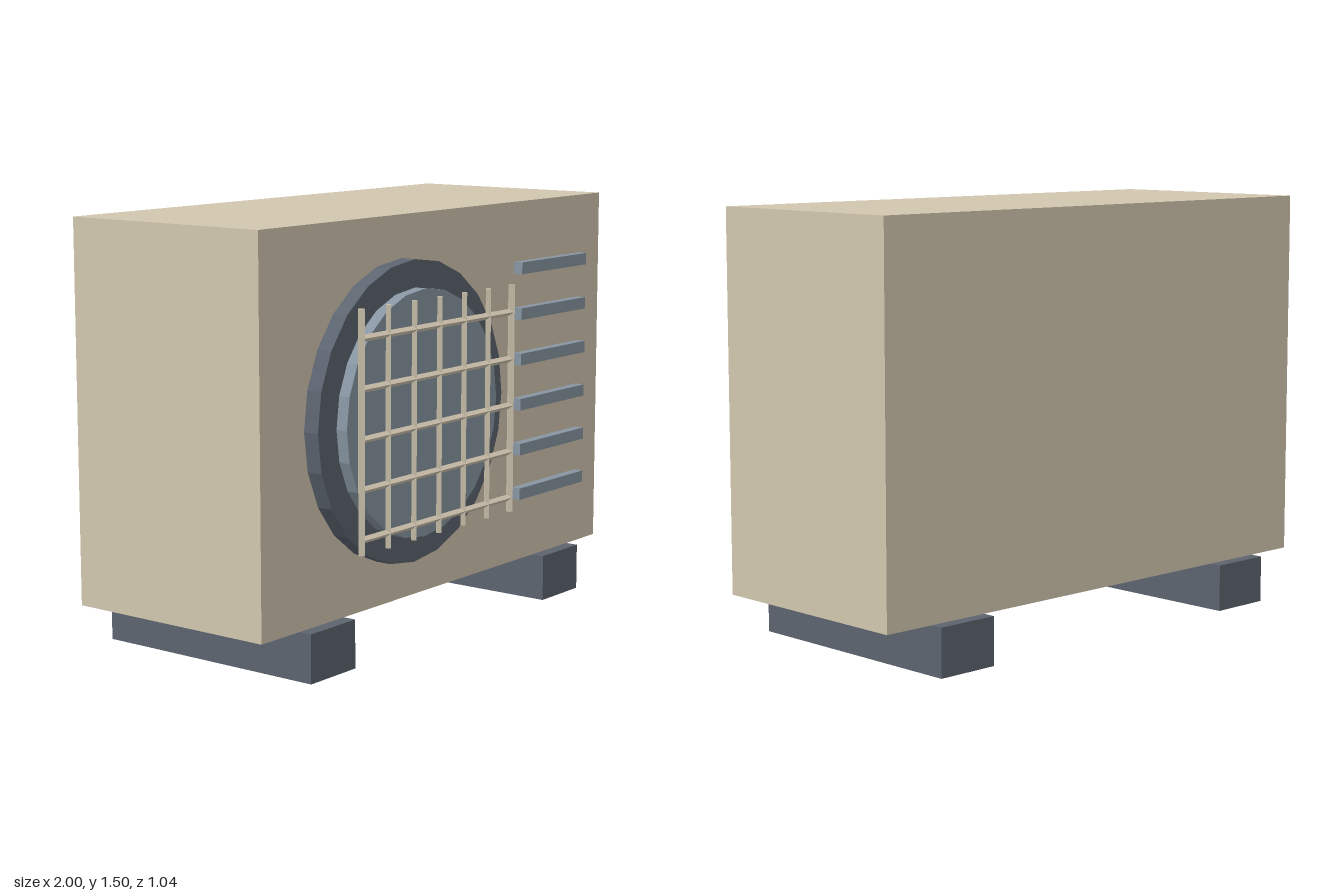
import * as THREE from 'three';

export function createModel() {
  const model = new THREE.Group();
  model.name = 'outdoorFanUnit';
  const mat = (name, color) => {
    const m = new THREE.MeshStandardMaterial({ color });
    m.name = name;
    m.flatShading = true;
    return m;
  };
  const beige = mat('beige', 0xd2c7b0);
  const darkGrey = mat('darkGrey', 0x5c646f);
  const blueGrey = mat('blueGrey', 0x8795a2);

  const add = (name, geometry, material, x, y, z, parent = model) => {
    const mesh = new THREE.Mesh(geometry, material);
    mesh.name = name;
    mesh.position.set(x, y, z);
    parent.add(mesh);
    return mesh;
  };

  // Casing on two rails running front to back
  add('casing', new THREE.BoxGeometry(2, 1.335, 0.81), beige, 0, 0.8375, -0.067);
  for (const side of [-1, 1]) {
    add(side > 0 ? 'leftFoot' : 'rightFoot',
      new THREE.BoxGeometry(0.235, 0.17, 0.904), darkGrey, side * 0.69, 0.085, -0.066);
  }

  // Fan opening: dark rim with a lighter disc in front
  const fanX = -0.265, fanY = 0.835;
  const disc = (name, radius, back, front, material) => {
    const g = new THREE.CylinderGeometry(radius, radius, front - back, 24).rotateX(Math.PI / 2);
    add(name, g, material, fanX, fanY, (back + front) / 2);
  };
  disc('fanRim', 0.523, 0.345, 0.403, darkGrey);
  disc('fanDisc', 0.427, 0.36, 0.446, blueGrey);

  // Guard grid of thin four-sided rods
  const guard = new THREE.Group();
  guard.name = 'fanGuard';
  model.add(guard);
  const guardZ = 0.507;
  for (let i = -3; i <= 3; i++) {
    const radius = Math.abs(i) === 3 ? 0.014 : 0.011;
    add('guardUpright', new THREE.CylinderGeometry(radius, radius, 0.81, 4),
      beige, fanX + i * 0.1425, fanY, guardZ, guard);
  }
  for (let i = 0; i < 5; i++) {
    add('guardCrossbar', new THREE.CylinderGeometry(0.012, 0.012, 0.855, 4).rotateZ(Math.PI / 2),
      beige, fanX, 0.481 + i * 0.1658, guardZ, guard);
  }

  // Vent slats
  for (let i = 0; i < 6; i++) {
    add('ventSlat', new THREE.BoxGeometry(0.43, 0.043, 0.042), blueGrey,
      0.64, 0.43 + i * 0.1672, 0.354);
  }
  return model;
}
